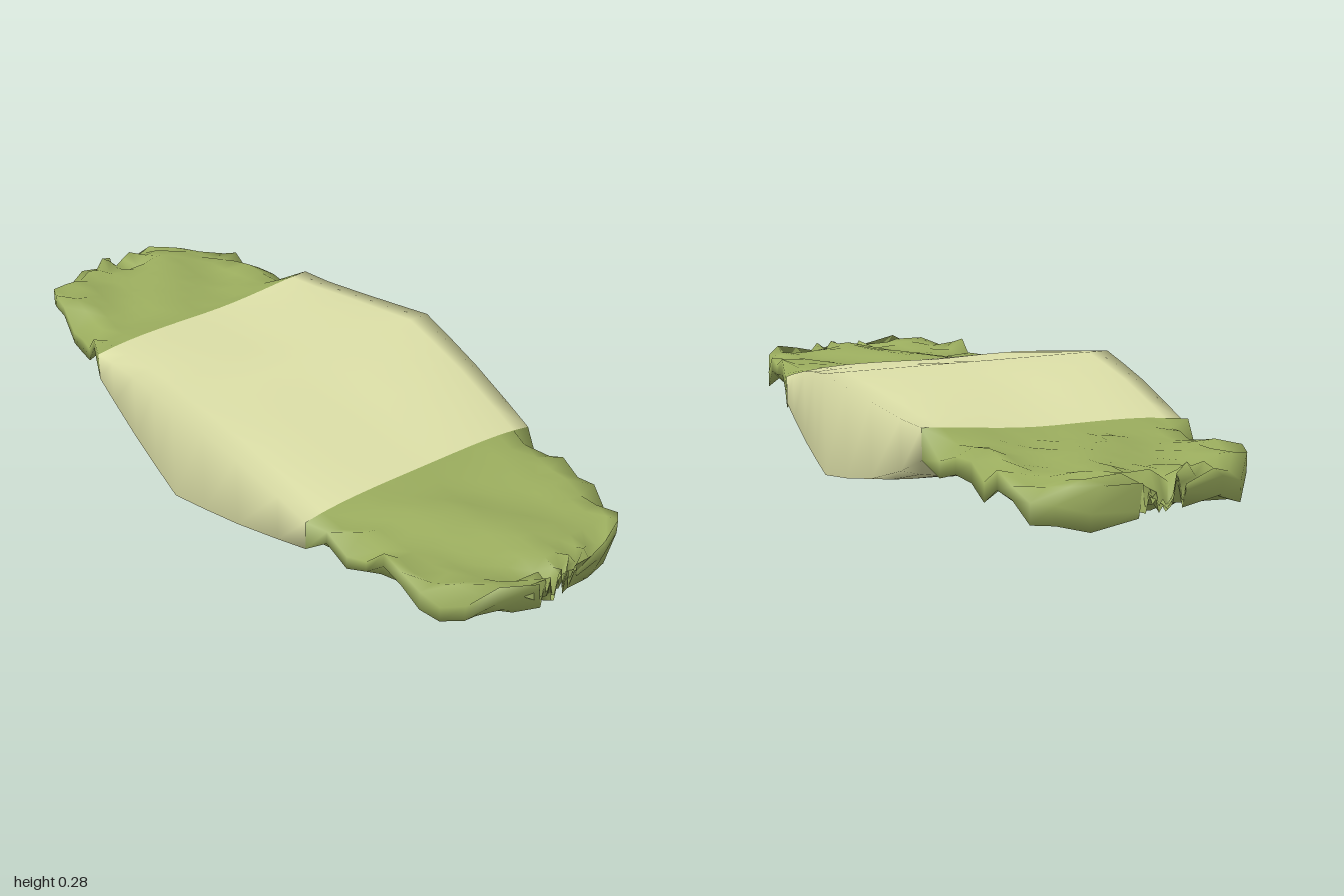
import * as THREE from 'three';

const MID = 0.1375; // height of the centre plane

// seeded noise, -1..1
function makeNoise(seed) {
  let s = seed;
  return () => {
    s = (s * 16807) % 2147483647;
    return (s / 2147483647) * 2 - 1;
  };
}

// piecewise linear lookup in [[x, y], ...]
function lookup(table, x) {
  for (let i = 1; i < table.length; i++) {
    const [x0, y0] = table[i - 1], [x1, y1] = table[i];
    if (x <= x1) return y0 + ((y1 - y0) * (x - x0)) / (x1 - x0);
  }
  return table[table.length - 1][1];
}

// half depth and half heights (centre, edge) against distance from the middle
const DEPTH = [[0, 0.428], [0.5, 0.364], [0.58, 0.338], [0.68, 0.317], [0.8, 0.31],
  [0.88, 0.3], [0.93, 0.272], [0.97, 0.21], [0.99, 0.13], [1, 0.06]];
const CENTRE = [[0, 0.1375], [0.25, 0.11], [0.4, 0.08], [0.5, 0.058]];
const EDGE = [[0, 0.1375], [0.25, 0.093], [0.5, 0.04]];
const COLS = 14;

// closed ring: top from back to front, then bottom from front to back
function ring(x, pointAt) {
  const top = [], bottom = [];
  for (let k = 0; k <= COLS; k++) {
    const { z, y, h } = pointAt((k / COLS) * 2 - 1);
    top.push([x, y + h, z]);
    bottom.unshift([x, y - h, z]);
  }
  return [...top, ...bottom];
}

// smooth skin through rings ordered by rising x
function loft(rings) {
  const n = rings[0].length, index = [];
  for (let i = 0; i < rings.length - 1; i++) {
    for (let k = 0; k < n; k++) {
      const a = i * n + k, b = i * n + ((k + 1) % n);
      index.push(a, b, a + n, b, b + n, a + n);
    }
  }
  const geo = new THREE.BufferGeometry();
  geo.setAttribute('position', new THREE.Float32BufferAttribute(rings.flat(2), 3));
  geo.setIndex(index);
  geo.computeVertexNormals();
  return geo;
}

// gently uneven middle, its back right corner raised
function bodyPoint(x, v) {
  const d = Math.abs(x);
  const c = lookup(CENTRE, d), e = lookup(EDGE, d);
  const dent = 0.1 * d * (1 - 2 * d) * (0.5 - Math.abs(v - 0.05));
  const lift = 0.045 * Math.max(0, -2 * x) ** 3 * Math.max(0, -v) ** 2;
  return { z: v * lookup(DEPTH, d), y: MID + lift, h: c + (e - c) * v ** 4 - dent };
}

// crumpled leaf end: flat inside, thin and zigzag along its rim
function leafRings(side, seed) {
  const noise = makeNoise(seed), rings = [];
  const steps = [0.5, 0.56, 0.62, 0.68, 0.74, 0.8, 0.86, 0.91, 0.95, 0.98, 1];
  for (const d of steps) {
    const u = (d - 0.5) / 0.5;
    rings.push(ring(side * d, (v) => {
      const base = bodyPoint(side * 0.5, v);
      if (u === 0) return base;
      const rim = Math.max(Math.abs(v) ** 8, u ** 10);
      const fold = 0.01 * Math.sin(6 * v + 5 * u + seed) * Math.min(1, u * 3);
      return {
        z: v * lookup(DEPTH, d),
        y: MID + (base.y - MID) * (1 - u) ** 3 + fold + noise() * (0.003 + 0.042 * rim),
        h: d === 1 ? 0.008 : (0.042 - 0.022 * rim) * (1 + 0.3 * rim * noise()),
      };
    }));
  }
  return side > 0 ? rings : rings.reverse();
}

export function createModel() {
  const group = new THREE.Group();
  const add = (name, geo, color) => {
    const mat = new THREE.MeshStandardMaterial({ color, side: THREE.DoubleSide });
    const mesh = new THREE.Mesh(geo, mat);
    mesh.name = name;
    group.add(mesh);
  };

  // plump filled middle
  const xs = [-0.5, -0.4, -0.25, -0.12, 0, 0.12, 0.25, 0.4, 0.5];
  add('filledBody', loft(xs.map((x) => ring(x, (v) => bodyPoint(x, v)))), 0xdde0a8);

  // flattened leaf ends
  add('leftLeafEnd', loft(leafRings(1, 4711)), 0x9bad5e);
  add('rightLeafEnd', loft(leafRings(-1, 9173)), 0x9bad5e);
  return group;
}
